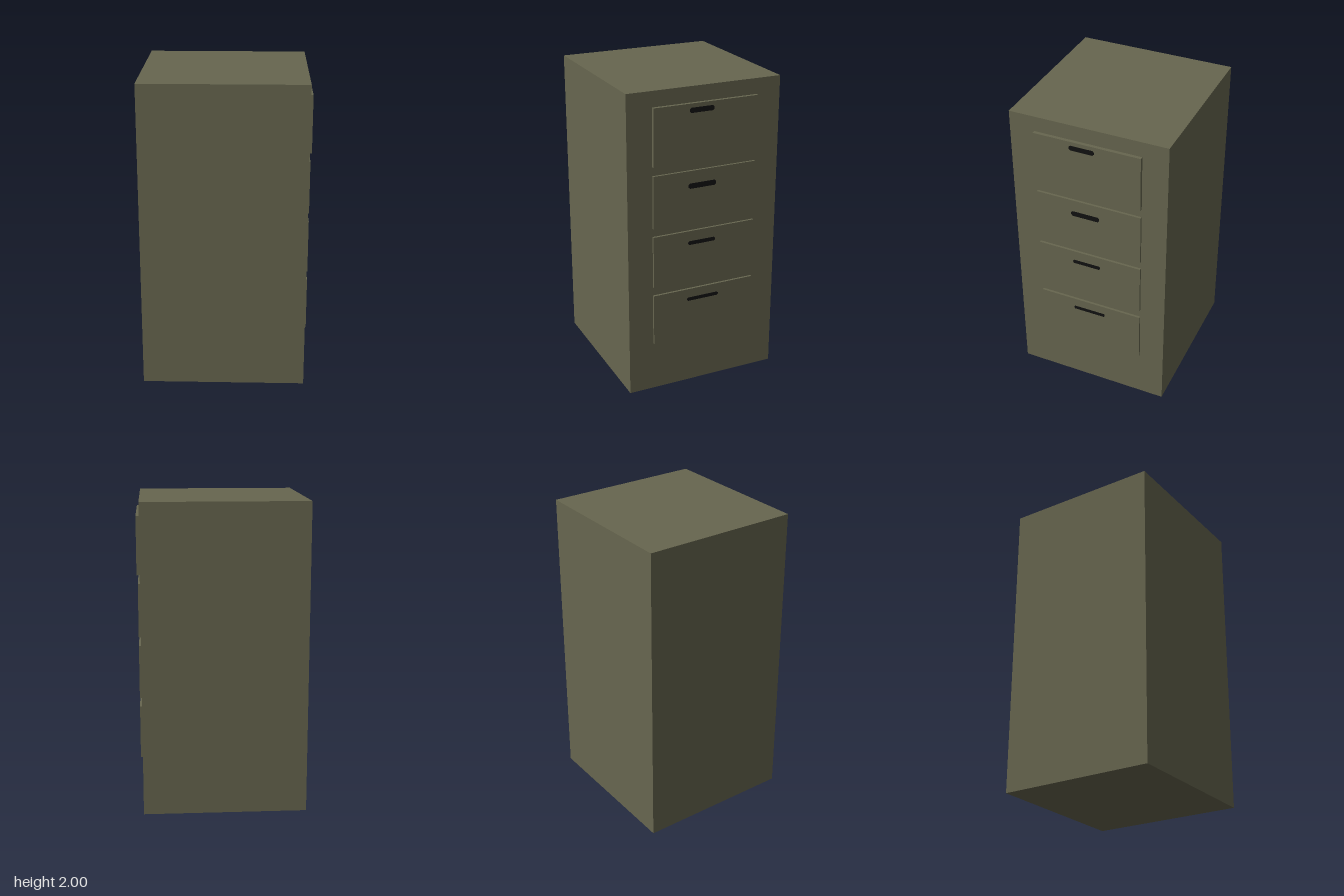
import * as THREE from 'three';

const olive = new THREE.MeshStandardMaterial({ color: 0x67664f });
olive.name = 'olive paint';
const black = new THREE.MeshStandardMaterial({ color: 0x111111 });
black.name = 'black handle';

const BODY_X = 0.515; // drawer side of the cabinet

function box(name, x0, x1, y0, y1, z0, z1) {
  const mesh = new THREE.Mesh(new THREE.BoxGeometry(x1 - x0, y1 - y0, z1 - z0), olive);
  mesh.position.set((x0 + x1) / 2, (y0 + y1) / 2, (z0 + z1) / 2);
  mesh.name = name;
  return mesh;
}

// Thin slot-shaped plate with clipped ends, facing +x
function handle(x, y, z0, z1, height) {
  const l = (z1 - z0) / 2, h = height / 2, c = height * 0.3;
  const shape = new THREE.Shape([
    [-l, -h + c], [-l + c, -h], [l - c, -h], [l, -h + c],
    [l, h - c], [l - c, h], [-l + c, h], [-l, h - c],
  ].map(([a, b]) => new THREE.Vector2(a, b)));
  const geometry = new THREE.ExtrudeGeometry(shape, { depth: 0.003, bevelEnabled: false });
  geometry.rotateY(Math.PI / 2);
  const mesh = new THREE.Mesh(geometry, black);
  mesh.position.set(x - 0.001, y, (z0 + z1) / 2);
  mesh.name = 'handle';
  return mesh;
}

export function createModel() {
  const model = new THREE.Group();
  model.name = 'filingCabinet';
  model.add(box('cabinetBody', -0.537, BODY_X, 0, 2, -0.515, 0.515));

  // Drawer fronts, top to bottom, each with its handle
  const drawers = [
    { y: [1.53, 1.90], front: 0.537, grip: [1.858, -0.052, 0.112, 0.032] },
    { y: [1.13, 1.473], front: 0.53, grip: [1.375, -0.075, 0.115, 0.034] },
    { y: [0.73, 1.075], front: 0.53, grip: [0.994, -0.075, 0.113, 0.025] },
    { y: [0.33, 0.673], front: 0.53, grip: [0.602, -0.103, 0.118, 0.023] },
  ];
  drawers.forEach(({ y, front, grip: [gy, z0, z1, height] }) => {
    const drawer = new THREE.Group();
    drawer.name = 'drawer';
    drawer.add(box('drawerFront', BODY_X - 0.01, front, y[0], y[1], -0.35, 0.35));
    drawer.add(handle(front, gy, z0, z1, height));
    model.add(drawer);
  });
  return model;
}
